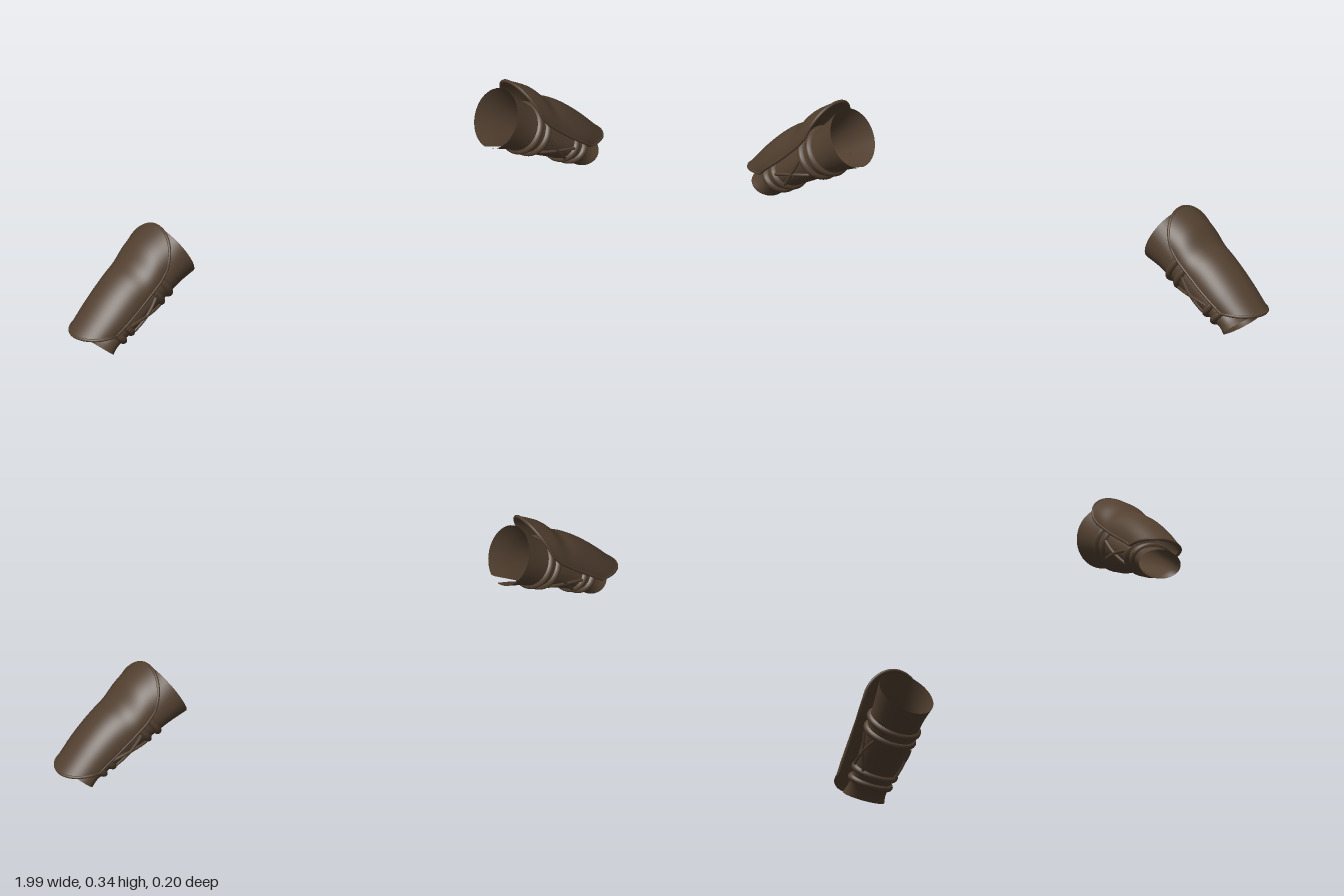
import * as THREE from 'three';

const leather = new THREE.MeshStandardMaterial({ color: 0x524030 });
leather.name = 'dark brown leather';

// Forearm frame: s runs elbow to wrist, n points out of the arm, z is world z
const AX = 0.83, AY = -0.557;
const place = (side, s, n, z) =>
  new THREE.Vector3(side * (0.615 + AX * s - AY * n), 0.243 + AY * s + AX * n, z);

// Smooth interpolation between table rows, u in 0..1
function sample(rows, u) {
  const f = Math.min(u, 0.99999) * (rows.length - 1), i = Math.floor(f), t = f - i;
  const row = (k) => rows[Math.max(0, Math.min(rows.length - 1, k))];
  return rows[0].map((_, k) => {
    const a = row(i - 1)[k], b = row(i)[k], c = row(i + 1)[k], d = row(i + 2)[k];
    return b + 0.5 * t * (c - a + t * (2 * a - 5 * b + 4 * c - d + t * (3 * (b - c) + d - a)));
  });
}

// Surface from a rule fn(u, v); closed joins the last column to the first
function surface(fn, nu, nv, flip, closed = false) {
  const pos = [], idx = [], cols = closed ? nv : nv + 1;
  for (let i = 0; i <= nu; i++)
    for (let j = 0; j < cols; j++) pos.push(...fn(i / nu, j / nv).toArray());
  for (let i = 0; i < nu; i++)
    for (let j = 0; j < nv; j++) {
      const j2 = (j + 1) % cols;
      const a = i * cols + j, b = i * cols + j2, c = a + cols, d = b + cols;
      if (flip) idx.push(a, c, b, b, c, d);
      else idx.push(a, b, c, b, d, c);
    }
  const g = new THREE.BufferGeometry();
  g.setAttribute('position', new THREE.Float32BufferAttribute(pos, 3));
  g.setIndex(idx);
  g.computeVertexNormals();
  return g;
}

// Sleeve rows: s, half height, half width, z centre, end tilt
const SLEEVE = [
  [0.0, 0.09, 0.088, -0.005, -0.12],
  [0.062, 0.076, 0.08, -0.002, -0.05],
  [0.124, 0.068, 0.076, 0.003, 0],
  [0.186, 0.06, 0.072, 0.008, 0],
  [0.248, 0.051, 0.067, 0.012, 0.05],
  [0.31, 0.045, 0.062, 0.015, 0.15],
  [0.345, 0.041, 0.061, 0.016, 0.25],
  [0.371, 0.045, 0.067, 0.017, 0.28],
];
function sleevePoint(side, u, ang, lift = 0, shift = 0) {
  const [s, h, w, zc, tilt] = sample(SLEEVE, u);
  const n = Math.cos(ang) * (h + lift);
  return place(side, s + tilt * n + shift, n, zc + Math.sin(ang) * (w + lift));
}

// Arm plate rows: edge s, edge n, crest s, crest n, front width, back width
const PLATE = [
  [0.083, 0.06, -0.005, 0.118, 0.095, 0.096],
  [0.12, 0.049, 0.07, 0.122, 0.096, 0.095],
  [0.165, 0.043, 0.133, 0.109, 0.095, 0.091],
  [0.2, 0.039, 0.182, 0.113, 0.094, 0.087],
  [0.24, 0.036, 0.236, 0.111, 0.094, 0.083],
  [0.285, 0.034, 0.307, 0.101, 0.092, 0.079],
  [0.325, 0.031, 0.403, 0.08, 0.086, 0.075],
];
function platePoint(side, u, v, inset = 0) {
  const [sE, nE, sT, nT, wF, wB] = sample(PLATE, u);
  const a = (v - 0.5) * Math.PI, c = Math.cos(a), w = (a > 0 ? wF : wB) - inset;
  return place(side, sE + (sT - sE) * c, nE + (nT - nE - inset) * c, Math.sin(a) * w);
}

function makeBracer(side) {
  const g = new THREE.Group();
  g.name = side > 0 ? 'leftBracer' : 'rightBracer';
  const add = (name, geo) => {
    const m = new THREE.Mesh(geo, leather);
    m.name = name;
    g.add(m);
  };
  const mir = side < 0, TAU = Math.PI * 2;

  // Sleeve, and a lining with a wedge-shaped slit at the elbow
  add('sleeve', surface((u, v) => sleevePoint(side, u, v * TAU), 28, 40, mir, true));
  add('sleeveLining', surface((u, v) => {
    const open = 0.42 * Math.max(0, 1 - u / 0.25);
    return sleevePoint(side, u, Math.PI + v * (TAU - open), -0.004 * Math.sin(Math.PI * u));
  }, 28, 40, !mir));

  // Arm plate with inner face and rolled rim
  add('armPlate', surface((u, v) => platePoint(side, u, v), 30, 28, mir));
  add('armPlateInside', surface((u, v) => platePoint(side, u, v, 0.007), 30, 28, !mir));
  const rim = [];
  const N = 12;
  for (let i = 0; i < N; i++) rim.push(platePoint(side, 0, i / N, 0.003));
  for (let i = 0; i < N; i++) rim.push(platePoint(side, i / N, 1, 0.003));
  for (let i = 0; i < N; i++) rim.push(platePoint(side, 1, 1 - i / N, 0.003));
  for (let i = 0; i < N; i++) rim.push(platePoint(side, 1 - i / N, 0, 0.003));
  add('plateRim', new THREE.TubeGeometry(new THREE.CatmullRomCurve3(rim, true), 120, 0.005, 8, true));

  // Two pairs of rounded straps around the sleeve
  for (const u of [0.25, 0.335, 0.64, 0.73])
    add('strap', surface((t, v) => {
      const lift = 0.011 * Math.pow(Math.sin(Math.PI * t), 0.6) - 0.001;
      return sleevePoint(side, u, v * TAU, lift, (t - 0.5) * 0.024);
    }, 8, 40, mir, true));

  // Crossed lacing between the strap pairs, front and back
  for (const face of [1, -1])
    for (const dir of [1, -1]) {
      const pts = [];
      for (let k = 0; k <= 6; k++) {
        const ang = face * (1.85 + dir * 0.4 * (k / 3 - 1));
        pts.push(sleevePoint(side, 0.36 + 0.26 * k / 6, ang, 0.003));
      }
      add('lace', new THREE.TubeGeometry(new THREE.CatmullRomCurve3(pts), 16, 0.005, 6));
    }
  return g;
}

export function createModel() {
  const model = new THREE.Group();
  model.name = 'pairOfBracers';
  for (const side of [1, -1]) model.add(makeBracer(side));
  return model;
}
